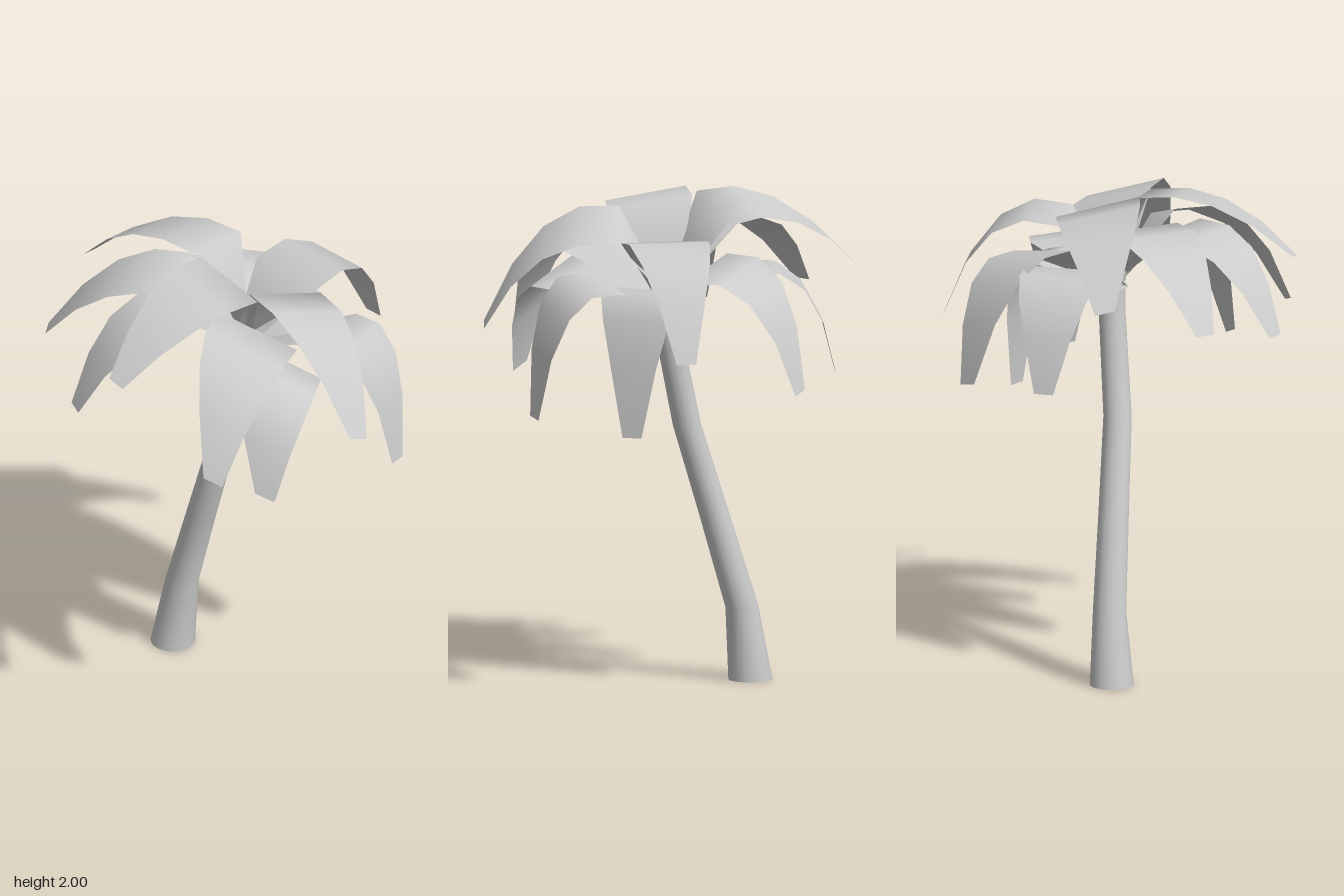
import * as THREE from 'three';
import { toCreasedNormals } from 'three/addons/utils/BufferGeometryUtils.js';

const V = (x, y, z) => new THREE.Vector3(x, y, z);
const bark = new THREE.MeshStandardMaterial({ color: 0xcccccc });
const leafMaterial = new THREE.MeshStandardMaterial({ color: 0xcccccc, side: THREE.DoubleSide });
const CROWN = V(0.055, 1.565, -0.058);

// Leaning trunk: a cylinder whose rings follow centre x, y, z and radius
function makeTrunk() {
  const rings = [
    [-0.29, 0, -0.145, 0.09],
    [-0.25, 0.3, -0.145, 0.068],
    [-0.145, 0.68, -0.103, 0.062],
    [-0.04, 1.05, -0.062, 0.058],
    [0.052, 1.45, -0.062, 0.055],
    [0.06, 1.57, -0.062, 0.055],
  ];
  const n = rings.length - 1;
  const geo = new THREE.CylinderGeometry(1, 1, 1, 16, n);
  const p = geo.attributes.position;
  for (let i = 0; i < p.count; i++) {
    const [x, y, z, r] = rings[Math.round((p.getY(i) + 0.5) * n)];
    p.setXYZ(i, x + p.getX(i) * r, y, z + p.getZ(i) * r);
  }
  const mesh = new THREE.Mesh(toCreasedNormals(geo, 0.9), bark);
  mesh.name = 'trunk';
  return mesh;
}

// Frond: rises from the crown to its ridge, then arches down to a blunt tip
function makeFrond(ridge, tip, roll, lift) {
  const run = V(tip.x - ridge.x, 0, tip.z - ridge.z);
  const slope = (ridge.y - tip.y) / run.length();
  const reach = THREE.MathUtils.clamp(0.36 + 0.35 * slope, 0.5, 0.88);
  const control = ridge.clone().addScaledVector(run, reach);
  control.y += lift;
  const arch = new THREE.QuadraticBezierCurve3(ridge, control, tip);

  // The root crosses the middle so that the fronds interlock
  const root = CROWN.clone().lerp(V(ridge.x, CROWN.y, ridge.z), -0.12);
  const neck = root.clone().lerp(ridge, 0.5);
  const spine = [root, neck, ...arch.getPoints(4)];
  const widths = [0.08, 0.2, 0.34, 0.33, 0.28, 0.19, 0.08];
  const side = V(-run.z, 0, run.x).normalize();

  // Three points across each section
  const pos = [], idx = [];
  spine.forEach((c, i) => {
    for (const s of [-0.5, 0, 0.5]) {
      const w = s * widths[i];
      pos.push(c.x + side.x * w, c.y + roll * w / 0.34, c.z + side.z * w);
    }
    if (i === 0) return;
    for (let k = 0; k < 2; k++) {
      const a = (i - 1) * 3 + k, b = a + 3;
      idx.push(a, b, a + 1, a + 1, b, b + 1);
    }
  });
  const geo = new THREE.BufferGeometry();
  geo.setAttribute('position', new THREE.Float32BufferAttribute(pos, 3));
  // Keep the upper face as the front
  geo.setIndex(idx);
  geo.computeVertexNormals();
  if (geo.attributes.normal.getY(10) < 0) {
    geo.setIndex(idx.reverse());
    geo.computeVertexNormals();
  }
  return new THREE.Mesh(geo, leafMaterial);
}

export function createModel() {
  const group = new THREE.Group();
  group.name = 'palmTree';
  group.add(makeTrunk());

  // Ridge x, y, z, then tip x, y, z, sideways roll and lift of the arch
  const fronds = [
    [-0.1, 1.95, -0.16, -0.715, 1.68, -0.275, -0.08, 0.075],
    [0.18, 1.84, -0.22, 0.36, 1.42, -0.685, 0, 0.12],
    [0.26, 1.885, -0.015, 0.71, 1.48, 0.285, 0.11, 0.06],
    [0.225, 1.82, 0.19, 0.255, 1.41, 0.715, 0.11, 0.07],
    [0.05, 1.95, 0.07, -0.205, 1.72, 0.635, 0.055, 0.07],
    [-0.1, 1.84, 0.17, -0.445, 1.46, 0.495, 0, 0.05],
    [-0.17, 1.87, 0, -0.72, 1.56, 0.14, 0, 0.07],
    [0.045, 1.74, -0.35, -0.165, 1.26, -0.715, -0.07, 0.07],
    [-0.17, 1.72, -0.3, -0.485, 1.29, -0.475, 0, 0.06],
    [0.28, 1.66, -0.25, 0.42, 1.08, -0.37, 0, 0.07],
    [0.42, 1.68, -0.14, 0.715, 1.15, -0.1, 0.04, 0.07],
    [0.315, 1.69, 0.17, 0.395, 1.25, 0.51, 0.14, 0.07],
  ];
  const crown = new THREE.Group();
  crown.name = 'crown';
  fronds.forEach(([rx, ry, rz, tx, ty, tz, roll, lift], i) => {
    const frond = makeFrond(V(rx, ry, rz), V(tx, ty, tz), roll, lift);
    frond.name = `frond${i + 1}`;
    crown.add(frond);
  });
  group.add(crown);
  return group;
}
